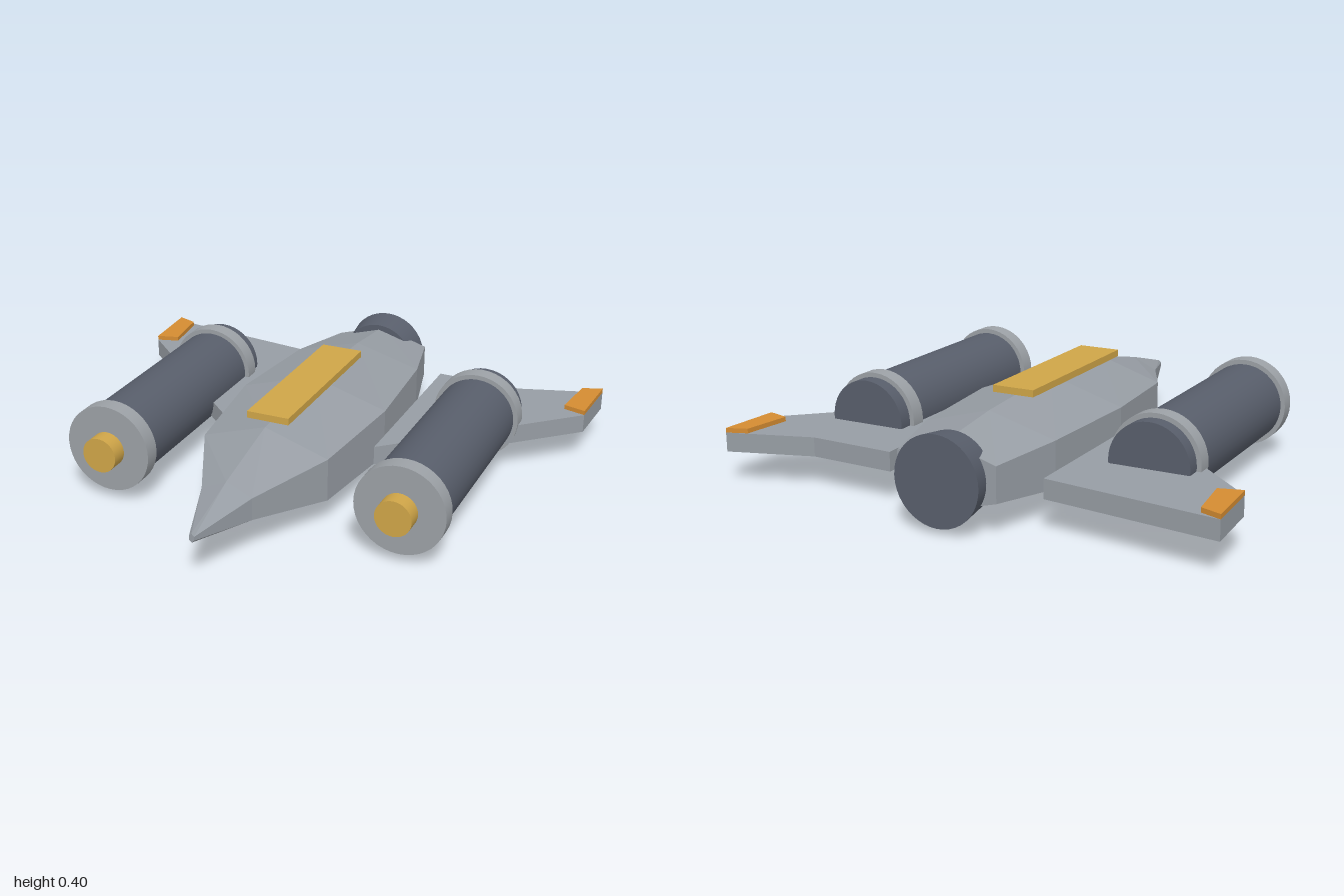
import * as THREE from 'three';

const mat = (name, color, flatShading = false) => {
  const m = new THREE.MeshStandardMaterial({ color, flatShading });
  m.name = name;
  return m;
};

// Horizontal plate from [x, z] outline points, between heights y0 and y1
function plate(points, y0, y1) {
  const shape = new THREE.Shape(points.map(([x, z]) => new THREE.Vector2(x, -z)));
  return new THREE.ExtrudeGeometry(shape, { depth: y1 - y0, bevelEnabled: false })
    .rotateX(-Math.PI / 2).translate(0, y0, 0);
}

// Cylinder lying along z, from zBack to zFront
function barrel(rFront, rBack, zBack, zFront) {
  return new THREE.CylinderGeometry(rFront, rBack, zFront - zBack, 40)
    .rotateX(Math.PI / 2).translate(0, 0, (zFront + zBack) / 2);
}

// Faceted hull lofted through six-sided sections
function hullGeometry() {
  // z, half width, ridge, upper side, lower side, keel
  const rings = [
    [0.925, 0.01, 0.215, 0.205, 0.19, 0.18],
    [0.66, 0.10, 0.288, 0.242, 0.155, 0.108],
    [0.34, 0.255, 0.362, 0.28, 0.11, 0.033],
    [-0.11, 0.305, 0.387, 0.295, 0.10, 0.005],
    [-0.57, 0.27, 0.36, 0.285, 0.105, 0.035],
    [-0.865, 0.20, 0.325, 0.265, 0.13, 0.075],
  ].map(([z, w, top, up, low, keel]) =>
    [[0, top, z], [-w, up, z], [-w, low, z], [0, keel, z], [w, low, z], [w, up, z]]);
  const pos = [];
  const tri = (a, b, c) => pos.push(...a, ...b, ...c);
  for (let i = 0; i < rings.length - 1; i++) {
    for (let j = 0; j < 6; j++) {
      const k = (j + 1) % 6;
      const a = rings[i][j], b = rings[i][k], c = rings[i + 1][k], d = rings[i + 1][j];
      tri(a, c, b);
      tri(a, d, c);
    }
  }
  // End caps
  const nose = rings[0], tail = rings[rings.length - 1];
  for (let j = 1; j < 5; j++) {
    tri(nose[0], nose[j], nose[j + 1]);
    tri(tail[0], tail[j + 1], tail[j]);
  }
  const g = new THREE.BufferGeometry();
  g.setAttribute('position', new THREE.Float32BufferAttribute(pos, 3));
  g.computeVertexNormals();
  return g;
}

export function createModel() {
  const group = new THREE.Group();
  group.name = 'spacecraft';
  const grey = mat('hullGrey', 0x979da4, true);
  const ringGrey = mat('ringGrey', 0x9ca1a6);
  const dark = mat('engineDark', 0x585e6b);
  const gold = mat('gold', 0xcfa548);
  const orange = mat('tipOrange', 0xd48c32);

  const add = (name, geometry, material, parent = group) => {
    const mesh = new THREE.Mesh(geometry, material);
    mesh.name = name;
    parent.add(mesh);
    return mesh;
  };

  add('hull', hullGeometry(), grey);
  add('topPanel', new THREE.BoxGeometry(0.17, 0.027, 0.715).translate(0, 0.3895, -0.04), gold);
  add('tailNozzle', barrel(0.155, 0.17, -0.93, -0.815).translate(0, 0.197, 0), dark);

  for (const s of [1, -1]) {
    const side = s > 0 ? 'left' : 'right';

    // Engine pod
    const pod = new THREE.Group();
    pod.name = side + 'Engine';
    pod.position.set(s * 0.594, 0.22, 0);
    group.add(pod);
    add('engineBody', barrel(0.157, 0.157, -0.49, 0.45), dark, pod);
    add('frontRing', barrel(0.175, 0.175, 0.427, 0.492), ringGrey, pod);
    add('rearRing', barrel(0.175, 0.175, -0.433, -0.37), ringGrey, pod);
    add('frontPlug', barrel(0.07, 0.07, 0.49, 0.557), gold, pod);

    // Wing; only the left one has a kinked trailing edge
    const outline = [[0.317, 0.033], [0.985, -0.585], [1, -0.835]];
    if (s > 0) outline.push([0.668, -0.73]);
    outline.push([0.317, -0.745]);
    add(side + 'Wing', plate(outline.map(([x, z]) => [s * x, z]), 0.13, 0.205), grey);

    const tip = [[1, -0.835], [0.92, -0.805], [0.896, -0.61], [0.985, -0.585]];
    add(side + 'WingTip', plate(tip.map(([x, z]) => [s * x, z]), 0.205, 0.223), orange);
  }
  return group;
}
